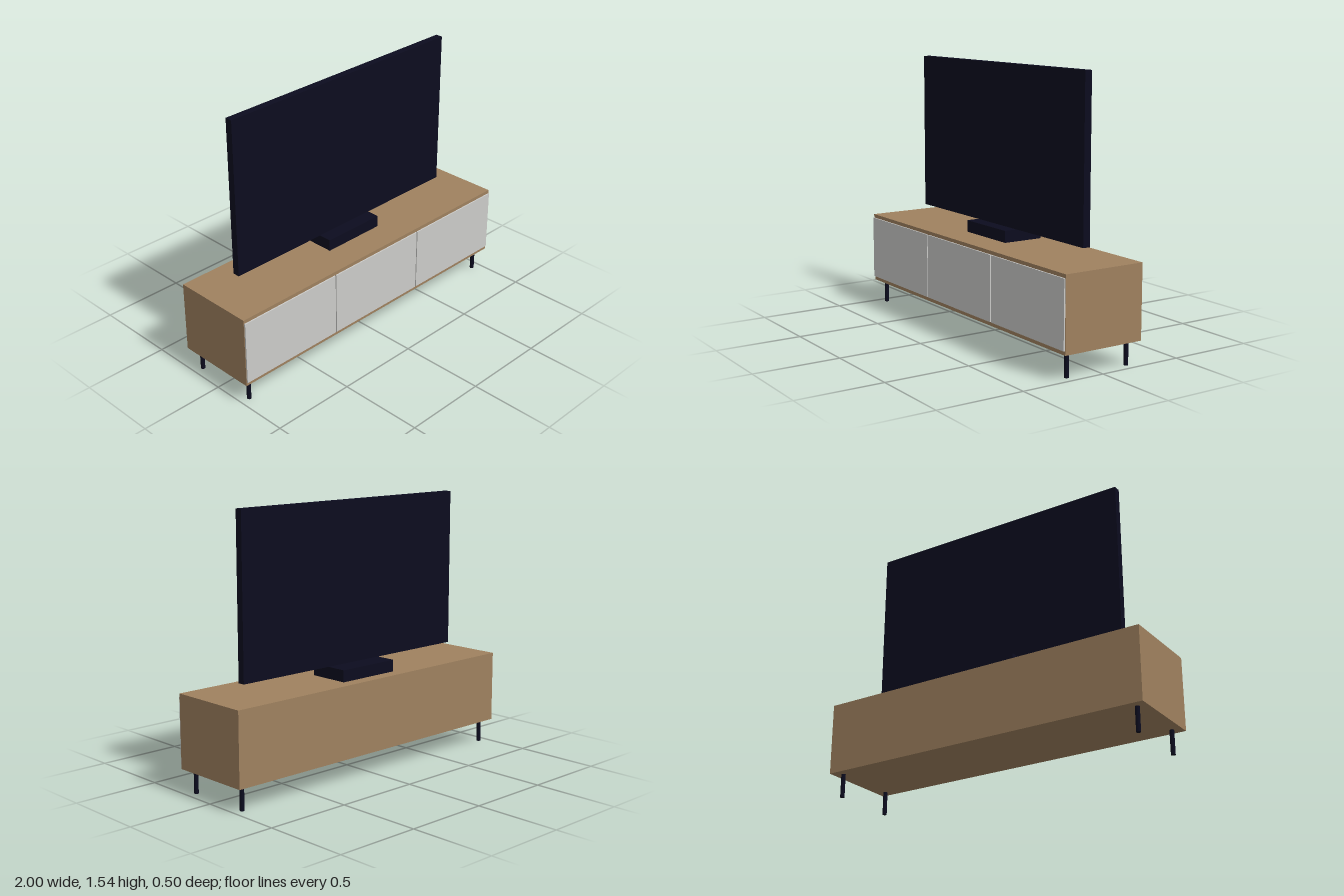
import * as THREE from 'three';

const material = (name, color) => {
  const m = new THREE.MeshStandardMaterial({ color });
  m.name = name;
  return m;
};

export function createModel() {
  const group = new THREE.Group();
  const wood = material('wood', 0x9f815f);
  const white = material('doorWhite', 0xcbcbc9);
  const black = material('black', 0x0c0c1f);

  const add = (name, geometry, mat, x, y, z) => {
    const mesh = new THREE.Mesh(geometry, mat);
    mesh.name = name;
    mesh.position.set(x, y, z);
    group.add(mesh);
  };
  // box given by its limits on each axis
  const box = (name, mat, [x0, x1], [y0, y1], [z0, z1]) =>
    add(name, new THREE.BoxGeometry(x1 - x0, y1 - y0, z1 - z0), mat,
      (x0 + x1) / 2, (y0 + y1) / 2, (z0 + z1) / 2);

  // low cabinet
  box('cabinet', wood, [-1, 1], [0.137, 0.556], [-0.251, 0.244]);

  // three door panels with narrow gaps
  for (const i of [-1, 0, 1]) {
    const x = i * 0.667;
    box('door', white, [x - 0.33, x + 0.33], [0.16, 0.535], [0.244, 0.252]);
  }

  // four slim round legs
  const legGeometry = new THREE.CylinderGeometry(0.0125, 0.0125, 0.14, 16);
  for (const x of [-0.943, 0.943]) {
    for (const z of [-0.198, 0.192]) add('leg', legGeometry, black, x, 0.07, z);
  }

  // television on its block stand
  box('televisionStand', black, [-0.196, 0.196], [0.556, 0.624], [-0.179, 0.063]);
  box('television', black, [-0.804, 0.804], [0.624, 1.545], [-0.057, -0.014]);

  return group;
}
